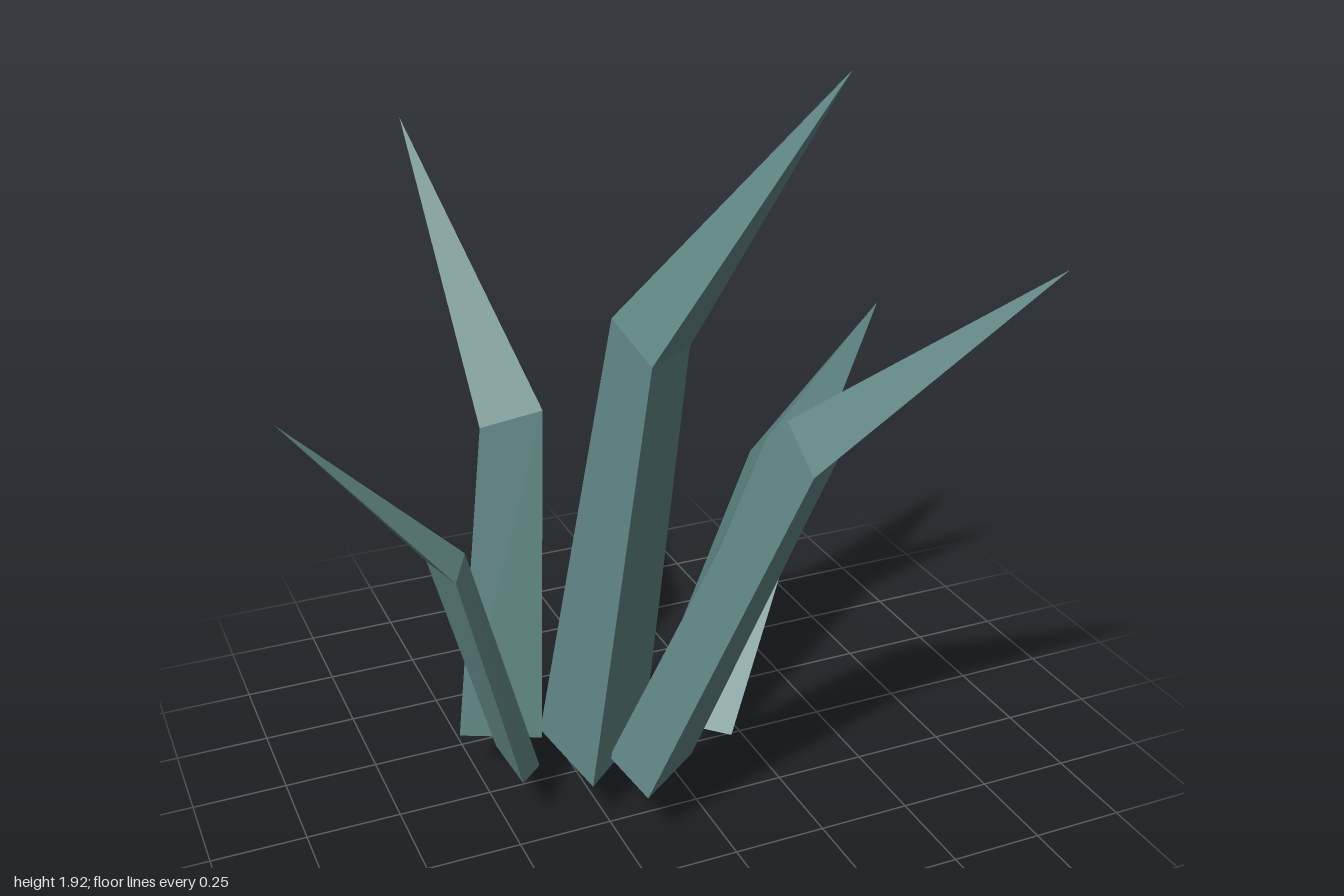
import * as THREE from 'three';

// Each leaf: base and bend triangles (left edge, inner ridge, right edge) and a tip
const LEAVES = [
  { name: 'centreLeaf',
    base: [[-0.3, 0.13, 0.26], [-0.33, 0.12, -0.06], [-0.02, 0.05, -0.06]],
    bend: [[-0.08, 1.22, 0.14], [-0.09, 1.27, -0.1], [0.13, 1.16, -0.1]],
    tip: [0.41, 1.92, 0.2] },
  { name: 'frontLeaf',
    base: [[-0.2, 0.15, 0.39], [-0.21, 0.13, 0.15], [0.04, 0.06, 0.13]],
    bend: [[0.15, 1.06, 0.56], [0.17, 1.13, 0.38], [0.34, 1.02, 0.36]],
    tip: [0.65, 1.57, 0.78] },
  { name: 'leftLeaf',
    base: [[0.21, 0.015, 0.03], [0.01, 0.05, -0.1], [0.07, 0, -0.24]],
    bend: [[0.6, 0.66, -0.26], [0.47, 0.75, -0.31], [0.49, 0.65, -0.45]],
    tip: [0.99, 1.0, -0.6] },
  { name: 'backLeaf',
    base: [[-0.55, 0.14, -0.09], [-0.33, 0.1, -0.05], [-0.31, 0.07, -0.28]],
    bend: [[-0.4, 0.95, -0.27], [-0.23, 0.98, -0.25], [-0.22, 0.91, -0.41]],
    tip: [-0.43, 1.67, -0.78] },
  { name: 'rightLeaf',
    base: [[-0.48, 0.15, 0.01], [-0.39, 0.12, 0.1], [-0.47, 0.15, 0.2]],
    bend: [[-0.64, 0.74, 0.01], [-0.56, 0.78, 0.08], [-0.61, 0.745, 0.16]],
    tip: [-1, 1.21, 0.1] },
];

// Three-sided tapering blade, bent once and closed at the base
function leafGeometry({ base, bend, tip }) {
  const v = (p) => new THREE.Vector3(...p);
  const [p, q, r] = base.map(v);
  const normal = q.clone().sub(p).cross(r.clone().sub(p));
  const flip = normal.dot(v(tip).sub(p)) < 0;
  const a = flip ? [...base].reverse() : base;
  const b = flip ? [...bend].reverse() : bend;
  const corners = [a[2], a[1], a[0]];
  for (let i = 0; i < 3; i++) {
    const j = (i + 1) % 3;
    corners.push(a[i], a[j], b[j], a[i], b[j], b[i], b[i], b[j], tip);
  }
  const geometry = new THREE.BufferGeometry();
  geometry.setAttribute('position', new THREE.Float32BufferAttribute(corners.flat(), 3));
  geometry.computeVertexNormals();
  return geometry;
}

export function createModel() {
  const group = new THREE.Group();
  group.name = 'spikyPlant';
  const leafGreen = new THREE.MeshStandardMaterial({ color: 0x5f8583 });
  leafGreen.name = 'leafGreen';
  for (const leaf of LEAVES) {
    const mesh = new THREE.Mesh(leafGeometry(leaf), leafGreen);
    mesh.name = leaf.name;
    group.add(mesh);
  }
  return group;
}
